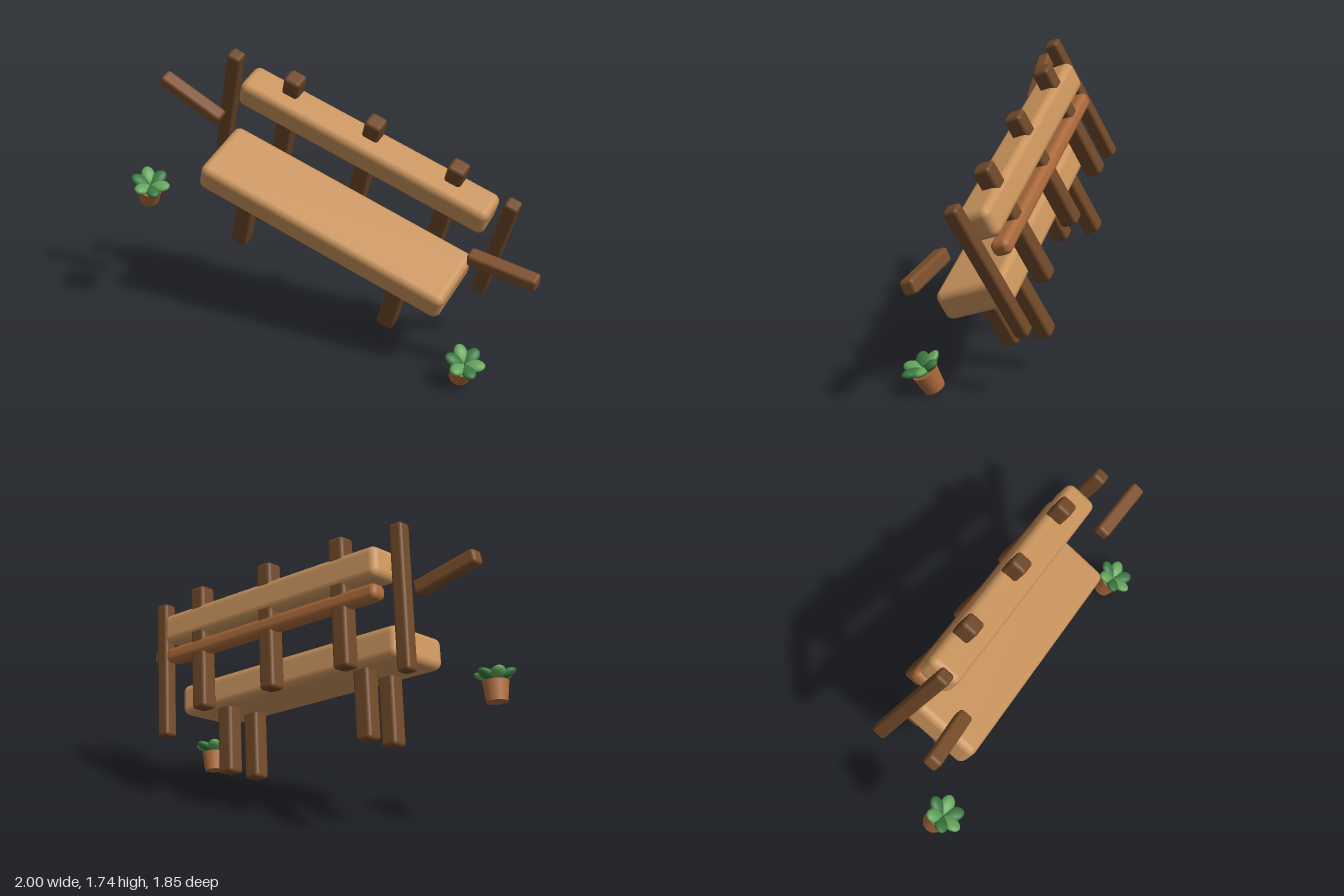
import * as THREE from 'three';
import { RoundedBoxGeometry } from 'three/addons/geometries/RoundedBoxGeometry.js';

const mat = (color) => new THREE.MeshStandardMaterial({ color });
const plank = mat(0xc8935c);
const post = mat(0x6e4727);
const arm = mat(0x7a4e2b);
const clay = mat(0xa8683a);
const greens = [mat(0x63a45a), mat(0x37753f)];

function block(parent, name, [w, h, d], [x, y, z], radius, material) {
  const mesh = new THREE.Mesh(new RoundedBoxGeometry(w, h, d, 3, radius), material);
  mesh.name = name;
  mesh.position.set(x, y, z);
  parent.add(mesh);
  return mesh;
}

// Clay pot with a ring of upturned leaves
function pottedPlant(name) {
  const g = new THREE.Group();
  g.name = name;
  const pot = new THREE.Mesh(new THREE.CylinderGeometry(0.074, 0.06, 0.117, 24), clay);
  pot.name = 'pot';
  pot.position.y = 0.0585;
  g.add(pot);
  const leafShape = new THREE.SphereGeometry(1, 16, 12);
  for (let i = 0; i < 6; i++) {
    const spoke = new THREE.Group();
    spoke.name = 'leafSpoke';
    spoke.rotation.y = (i * Math.PI) / 3 + 0.3;
    spoke.position.y = 0.15;
    const leaf = new THREE.Mesh(leafShape, greens[i % 2]);
    leaf.name = 'leaf';
    leaf.scale.set(0.062, 0.024, 0.042);
    leaf.position.x = 0.06;
    leaf.rotation.z = 0.35;
    spoke.add(leaf);
    g.add(spoke);
  }
  return g;
}

export function createModel() {
  const model = new THREE.Group();
  model.name = 'gardenBench';

  // Whole bench is turned and tipped; its origin is the seat centre
  const bench = new THREE.Group();
  bench.name = 'bench';
  bench.rotation.set(THREE.MathUtils.degToRad(29.5), -Math.PI / 4, 0);
  bench.position.set(0.1, 0.79, -0.065);
  model.add(bench);

  // Seat, top beam and rail
  block(bench, 'seat', [1.64, 0.185, 0.43], [0, 0, 0], 0.045, plank);
  block(bench, 'backBeam', [1.64, 0.18, 0.21], [0, 0.416, -0.255], 0.045, plank);
  block(bench, 'backRail', [1.61, 0.09, 0.11], [0, 0.25, -0.305], 0.035, clay);

  // Upright slats of the back
  for (const x of [-0.54, 0, 0.54]) {
    block(bench, 'backSlat', [0.105, 0.745, 0.105], [x, 0.248, -0.3], 0.022, post);
  }

  for (const side of [-1, 1]) {
    // Legs
    for (const z of [-0.11, 0.11]) {
      block(bench, 'leg', [0.105, 0.44, 0.105], [side * 0.52, -0.267, z], 0.022, post);
    }
    // End post and outward armrest
    block(bench, 'endPost', [0.085, 0.83, 0.085], [side * 0.91, 0.202, -0.248], 0.02, post);
    const rest = block(bench, 'armrest', [0.42, 0.085, 0.085], [side * 1.032, 0.368, 0], 0.02, arm);
    rest.rotation.z = side * 0.2;
    // Plant beside the bench
    const plant = pottedPlant('pottedPlant');
    plant.position.set(side * 1.08, -0.308, 0.317);
    bench.add(plant);
  }
  return model;
}
